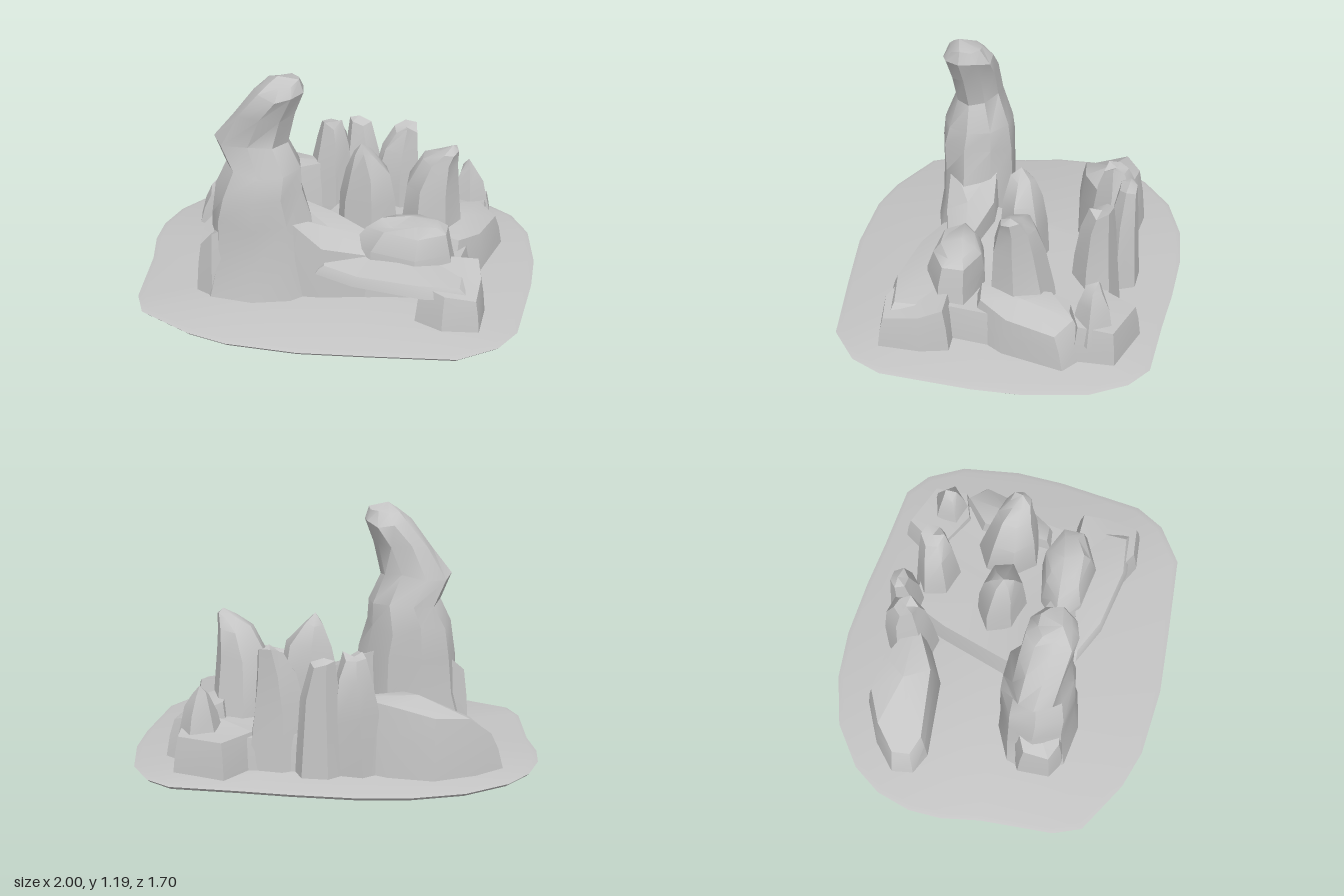
import * as THREE from 'three';
import { toCreasedNormals } from 'three/addons/utils/BufferGeometryUtils.js';

const stone = new THREE.MeshStandardMaterial({ color: 0xc4c4c4 });
stone.name = 'grey stone';

// Small seeded generator for the rough rock outlines
function seeded(seed) {
  let s = seed * 7919 + 17;
  return () => (s = (s * 16807) % 2147483647) / 2147483647;
}

const middle = (ring) => ring
  .reduce((m, p) => m.map((v, k) => v + p[k] / ring.length), [0, 0, 0]);

// Skin closed rings of [x, y, z] from bottom to top and cap both ends
function loft(name, rings, peak, crease = 0.6) {
  const n = rings[0].length, top = rings.length - 1;
  const pos = rings.flat(2), idx = [];
  pos.push(...middle(rings[0]), ...(peak || middle(rings[top])));
  const low = n * rings.length, high = low + 1;
  for (let i = 0; i < n; i++) {
    const j = (i + 1) % n;
    for (let r = 0; r < top; r++) {
      const a = r * n, b = a + n;
      idx.push(a + i, b + i, a + j, a + j, b + i, b + j);
    }
    idx.push(i, j, low, top * n + i, high, top * n + j);
  }
  const geo = new THREE.BufferGeometry();
  geo.setAttribute('position', new THREE.Float32BufferAttribute(pos, 3));
  geo.setIndex(idx);
  const mesh = new THREE.Mesh(toCreasedNormals(geo, crease), stone);
  mesh.name = name;
  return mesh;
}

// Upright rock: levels of [y, xMin, xMax, zMin, zMax]
function spire(name, seed, sides, levels, peak) {
  const rand = seeded(seed), turn = rand() * 0.6;
  const rough = Array.from({ length: sides }, () => 0.95 + rand() * 0.13);
  const rings = levels.map(([y, x0, x1, z0, z1], l) => rough.map((f, i) => {
    const a = turn + (i / sides) * Math.PI * 2, k = f * (0.97 + rand() * 0.07);
    return [
      (x0 + x1) / 2 + Math.cos(a) * k * (x1 - x0) / 2,
      y + (l ? (rand() - 0.5) * 0.04 : 0),
      (z0 + z1) / 2 + Math.sin(a) * k * (z1 - z0) / 2,
    ];
  }));
  return loft(name, rings, peak);
}

// Low rock: outline of [x, z, height], drawn in towards the middle at the top
function ledge(name, outline, inset, peak, bottom = 0.01) {
  const base = outline.map(([x, z]) => [x, bottom, z]);
  const [cx, , cz] = middle(base);
  const at = (k, h) => outline.map(([x, z, y]) =>
    [x + (cx - x) * k, bottom + (y - bottom) * h, z + (cz - z) * k]);
  return loft(name, [base, at(inset * 0.45, 0.6), at(inset, 1)], peak, 0.5);
}

export function createModel() {
  const model = new THREE.Group();
  model.name = 'rockFormation';

  // Flat ground plate with a thin rounded rim
  const rim = [
    [1, 0.05], [0.96, 0.5], [0.88, 0.65], [0.7, 0.78], [0.3, 0.82], [-0.05, 0.85],
    [-0.4, 0.83], [-0.6, 0.77], [-0.87, 0.62], [-0.93, 0.48], [-0.96, 0.1], [-1, -0.1],
    [-1, -0.27], [-0.95, -0.45], [-0.85, -0.6], [-0.65, -0.75], [-0.4, -0.83],
    [-0.15, -0.85], [0.15, -0.83], [0.4, -0.8], [0.73, -0.77], [0.85, -0.68],
    [0.95, -0.5], [1, -0.2],
  ];
  const rimAt = (k, y) => rim.map(([x, z]) => [x * k, y, z * k]);
  model.add(loft('groundPlate',
    [rimAt(0.985, 0), rimAt(1, 0.014), rimAt(0.97, 0.024)], [0, 0.035, 0]));

  // Tall leaning tower
  model.add(spire('tower', 5, 9, [
    [0.01, -0.66, -0.04, 0.05, 0.49],
    [0.22, -0.6, -0.07, 0.05, 0.45],
    [0.42, -0.59, -0.09, 0.05, 0.44],
    [0.57, -0.56, -0.13, 0.05, 0.45],
    [0.7, -0.5, -0.13, 0.06, 0.42],
    [0.83, -0.56, -0.19, 0.13, 0.37],
    [0.98, -0.46, -0.16, 0.14, 0.39],
    [1.1, -0.35, -0.11, 0.15, 0.41],
    [1.16, -0.3, -0.13, 0.2, 0.37],
  ], [-0.23, 1.19, 0.32]));
  model.add(ledge('towerButtress', [
    [-0.46, 0.3, 0.3], [-0.44, 0.42, 0.4], [-0.56, 0.44, 0.36],
    [-0.65, 0.39, 0.28], [-0.66, 0.22, 0.33], [-0.54, 0.15, 0.42],
  ], 0.25));

  // Raised floor between the rocks
  model.add(ledge('raisedFloor', [
    [0.7, -0.05, 0.2], [0.66, 0.25, 0.2], [0.2, 0.33, 0.24], [-0.16, 0.24, 0.3],
    [-0.18, 0.05, 0.22], [-0.06, -0.35, 0.2], [0.02, -0.55, 0.22], [0.4, -0.55, 0.18],
    [0.68, -0.4, 0.2],
  ], 0.06, [0.26, 0.2, -0.12]));

  // Front ridge: saddle, overhanging roof, end block and upper tier
  model.add(ledge('saddle', [
    [0.28, 0.2, 0.3], [0.22, 0.32, 0.26], [-0.02, 0.37, 0.3], [-0.24, 0.38, 0.48],
    [-0.26, 0.12, 0.48], [0.0, 0.1, 0.38],
  ], 0.08));
  model.add(ledge('overhang', [
    [0.72, 0.25, 0.22], [0.72, 0.5, 0.22], [0.5, 0.53, 0.23], [0.15, 0.47, 0.22],
    [-0.05, 0.38, 0.22], [-0.06, 0.2, 0.28], [0.3, 0.16, 0.28],
  ], 0.12, [0.32, 0.27, 0.3], 0.17));
  model.add(ledge('endBlock', [
    [0.79, 0.34, 0.21], [0.78, 0.55, 0.18], [0.6, 0.57, 0.2], [0.46, 0.5, 0.22],
    [0.48, 0.2, 0.25], [0.76, 0.2, 0.25],
  ], 0.17));
  model.add(spire('upperTier', 11, 7, [
    [0.15, 0.1, 0.64, 0.08, 0.37],
    [0.28, 0.12, 0.62, 0.09, 0.36],
    [0.38, 0.2, 0.59, 0.1, 0.33],
    [0.42, 0.27, 0.54, 0.13, 0.29],
  ], [0.4, 0.44, 0.2]));

  // Middle spires
  model.add(spire('rightSpire', 3, 7, [
    [0.01, 0.32, 0.68, -0.3, 0.06],
    [0.25, 0.3, 0.63, -0.27, 0.05],
    [0.48, 0.33, 0.61, -0.22, 0.03],
    [0.62, 0.41, 0.6, -0.18, 0.0],
    [0.68, 0.5, 0.6, -0.13, -0.02],
  ], [0.57, 0.71, -0.07]));
  model.add(spire('middleSpire', 8, 6, [
    [0.1, -0.02, 0.31, -0.2, 0.06],
    [0.38, 0.0, 0.29, -0.19, 0.04],
    [0.53, 0.03, 0.26, -0.16, 0.03],
    [0.65, 0.07, 0.17, -0.12, 0.0],
  ], [0.11, 0.69, -0.05]));

  // Back spires
  model.add(spire('backLeftSpire', 6, 6, [
    [0.01, -0.28, 0.04, -0.62, -0.36],
    [0.3, -0.24, 0.01, -0.62, -0.38],
    [0.48, -0.2, -0.02, -0.61, -0.41],
    [0.59, -0.17, -0.06, -0.56, -0.44],
  ]));
  model.add(spire('backRightSpire', 9, 6, [
    [0.01, 0.08, 0.42, -0.58, -0.32],
    [0.3, 0.11, 0.38, -0.55, -0.34],
    [0.48, 0.16, 0.36, -0.54, -0.37],
    [0.6, 0.22, 0.35, -0.53, -0.41],
  ]));
  model.add(spire('backStump', 4, 6, [
    [0.01, -0.08, 0.16, -0.65, -0.46],
    [0.4, -0.05, 0.13, -0.63, -0.49],
    [0.57, -0.03, 0.08, -0.62, -0.53],
  ], [0.02, 0.6, -0.58]));

  // Long back ridge sloping down to the side
  model.add(ledge('backRidge', [
    [0.0, -0.46, 0.38], [-0.3, -0.29, 0.37], [-0.7, -0.25, 0.24], [-0.81, -0.3, 0.18],
    [-0.83, -0.41, 0.2], [-0.7, -0.53, 0.3], [-0.5, -0.63, 0.32], [-0.28, -0.6, 0.36],
  ], 0.2, [-0.42, 0.39, -0.44]));

  // Back corner rock with its small peak
  model.add(ledge('cornerRock', [
    [0.74, -0.4, 0.22], [0.58, -0.34, 0.24], [0.34, -0.48, 0.2], [0.48, -0.7, 0.2],
    [0.74, -0.6, 0.2],
  ], 0.15));
  model.add(spire('cornerPeak', 2, 5, [
    [0.12, 0.5, 0.74, -0.59, -0.36],
    [0.3, 0.54, 0.7, -0.56, -0.4],
    [0.39, 0.58, 0.66, -0.52, -0.44],
  ], [0.62, 0.43, -0.5]));

  // Side ridge joining the corner rock to the right spire
  model.add(ledge('sideRidge', [
    [0.82, -0.36, 0.2], [0.74, -0.05, 0.22], [0.62, 0.13, 0.25], [0.5, 0.14, 0.28],
    [0.52, -0.3, 0.28], [0.7, -0.46, 0.24],
  ], 0.22, [0.64, 0.29, -0.15]));

  return model;
}
